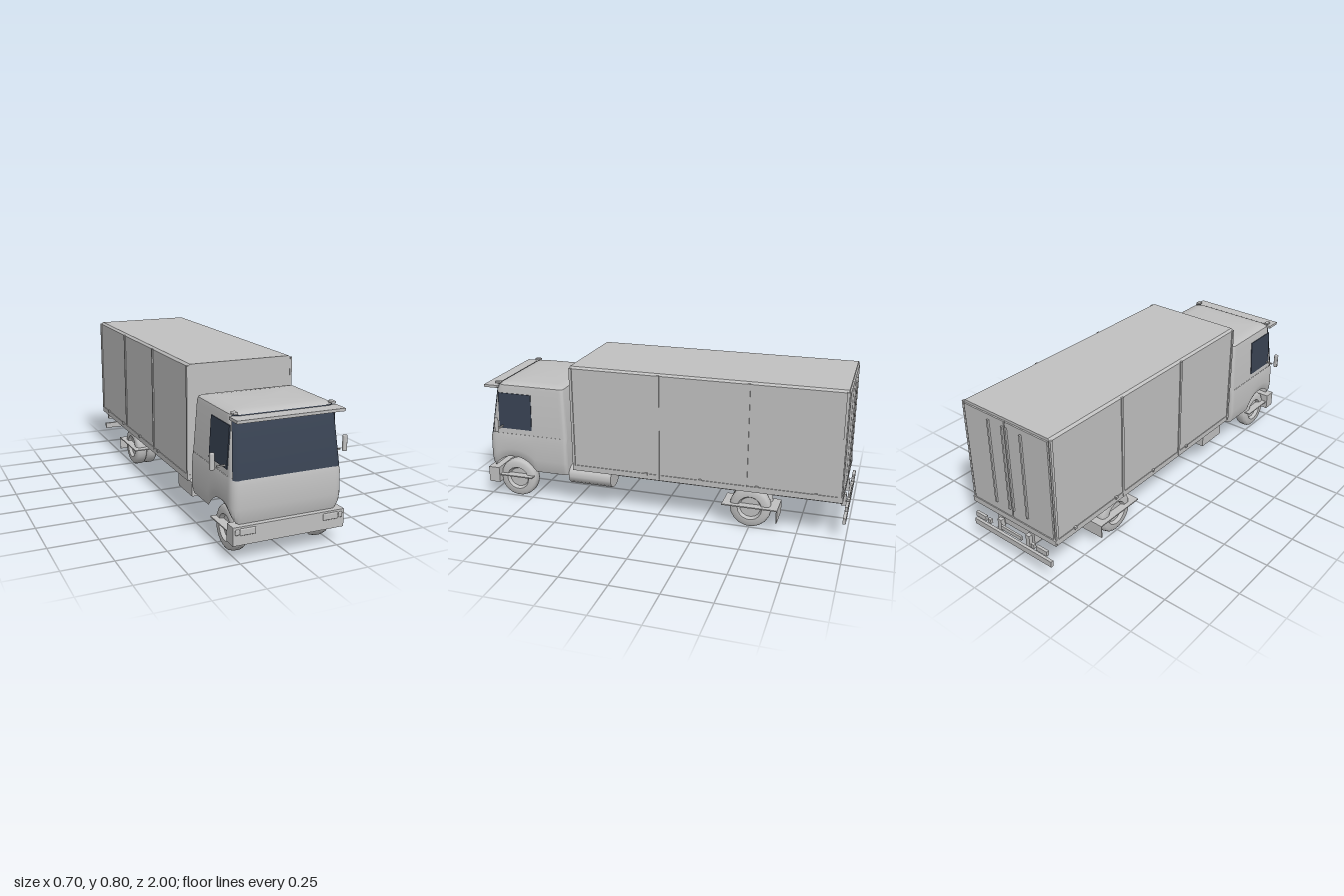
import * as THREE from 'three';
import { toCreasedNormals } from 'three/addons/utils/BufferGeometryUtils.js';
import { RoundedBoxGeometry } from 'three/addons/geometries/RoundedBoxGeometry.js';

const ARC = 5, SIDE = 28;
const lerp = THREE.MathUtils.lerp;

// Plan outline of the cab: front corners first, then round the sides and rear
function ring([, w, zf, zr]) {
  const r = Math.min(0.04, w * 0.4, (zf - zr) * 0.3), q = r * 0.5, pts = [];
  const arc = (cx, cz, rad, from) => {
    for (let i = 0; i <= ARC; i++) {
      const a = from + (i / ARC) * Math.PI / 2;
      pts.push([cx + rad * Math.cos(a), cz + rad * Math.sin(a)]);
    }
  };
  arc(w - r, zf - r, r, 0);
  arc(r - w, zf - r, r, Math.PI / 2);
  for (let i = 1; i < SIDE; i++) pts.push([-w, lerp(zf - r, zr + q, i / SIDE)]);
  arc(q - w, zr + q, q, Math.PI);
  arc(w - q, zr + q, q, Math.PI * 1.5);
  for (let i = 1; i < SIDE; i++) pts.push([w, lerp(zr + q, zf - r, i / SIDE)]);
  return pts;
}

// Skin a stack of outlines; yAt may bend each level
function loft(levels, outline, closed, yAt = (y) => y) {
  const pos = [], idx = [];
  let n = 0;
  levels.forEach((lv) => {
    const pts = outline(lv);
    n = pts.length;
    pts.forEach(([x, z]) => pos.push(x, yAt(lv[0], z), z));
  });
  for (let j = 0; j < levels.length - 1; j++) {
    for (let i = 0; i < (closed ? n : n - 1); i++) {
      const a = j * n + i, b = j * n + (i + 1) % n;
      idx.push(a, a + n, b, b, a + n, b + n);
    }
  }
  const g = new THREE.BufferGeometry();
  g.setAttribute('position', new THREE.Float32BufferAttribute(pos, 3));
  g.setIndex(idx);
  return toCreasedNormals(g, 0.6);
}

export function createModel() {
  const truck = new THREE.Group();
  truck.name = 'boxTruck';
  const paint = new THREE.MeshStandardMaterial({ color: 0xc0c0c0, side: THREE.DoubleSide });
  paint.name = 'greyPaint';
  const glass = new THREE.MeshStandardMaterial({ color: 0x384252, side: THREE.DoubleSide });
  glass.name = 'darkGlass';

  const add = (name, geo, mat = paint, parent = truck) => {
    const m = new THREE.Mesh(geo, mat);
    m.name = name;
    parent.add(m);
    return m;
  };
  // Box given by its limits on each axis
  const box = (name, x0, x1, y0, y1, z0, z1, round = 0) => {
    const s = [Math.abs(x1 - x0), y1 - y0, z1 - z0];
    const m = add(name, round ? new RoundedBoxGeometry(...s, 2, round) : new THREE.BoxGeometry(...s));
    m.position.set((x0 + x1) / 2, (y0 + y1) / 2, (z0 + z1) / 2);
    return m;
  };
  const pair = (name, x0, x1, ...rest) => [1, -1].map((s) => box(name, s * x0, s * x1, ...rest));

  // Cab: lower shell with wheel arches, upper shell with domed roof
  const BASE = 0.178, BELT = 0.39, AXLE = 0.835;
  const bottom = (z) => {
    const d = 0.145 ** 2 - (z - AXLE) ** 2;
    return d > 0 ? Math.max(BASE, 0.11 + Math.sqrt(d)) : BASE;
  };
  add('cabLower', loft([
    [BASE, 0.272, 0.968, 0.512], [0.21, 0.281, 0.976, 0.512], [0.25, 0.284, 0.979, 0.512],
    [0.36, 0.281, 0.978, 0.512], [BELT, 0.277, 0.97, 0.512],
  ], ring, true, (y, z) => lerp(bottom(z), BELT, (y - BASE) / (BELT - BASE))));
  const upper = [
    [BELT, 0.276, 0.968, 0.512], [0.645, 0.262, 0.924, 0.526], [0.664, 0.258, 0.915, 0.53],
    [0.672, 0.247, 0.902, 0.54], [0.677, 0.2, 0.86, 0.58], [0.68, 0.002, 0.722, 0.718],
  ];
  add('cabUpper', loft(upper, ring, true));
  box('cabFloor', -0.265, 0.265, 0.25, 0.26, 0.53, 0.95);
  box('engine', -0.09, 0.09, 0.14, 0.25, 0.48, 0.92);

  // Windscreen wraps onto the front corners
  const screenRows = [[0.382, 0.28, 0.972, 0.512], ...upper.slice(1, 3).map(([y, w, f, r]) => [y, w + 0.003, f + 0.003, r])];
  add('windscreen', loft(screenRows, (lv) => ring(lv).slice(2, 2 * ARC), false), glass);

  for (const s of [1, -1]) {
    const w = add('sideWindow', new THREE.BoxGeometry(0.006, 0.2, 0.194), glass);
    w.position.set(s * 0.27, 0.52, 0.813);
    w.rotation.z = s * 0.055;
  }

  // Sun visor
  box('sunVisor', -0.27, 0.27, 0.646, 0.66, 0.91, 0.99);
  pair('visorBracket', 0.235, 0.258, 0.668, 0.68, 0.895, 0.93, 0.004);

  // Mirrors
  pair('mirrorArm', 0.27, 0.318, 0.43, 0.437, 0.886, 0.894);
  pair('mirror', 0.33, 0.352, 0.42, 0.5, 0.882, 0.9, 0.006);

  // Front bumper and lamps
  box('frontBumper', -0.285, 0.285, 0.09, 0.178, 0.93, 0.994);
  pair('headlampFrame', 0.173, 0.252, 0.136, 0.169, 0.985, 1, 0.005);
  pair('indicator', 0.255, 0.275, 0.14, 0.167, 0.985, 1, 0.005);

  // Cargo body with chamfered roof edges
  const s = new THREE.Shape();
  [[-0.28, 0.228], [0.28, 0.228], [0.28, 0.795], [0.268, 0.806], [-0.268, 0.806], [-0.28, 0.795]]
    .forEach(([x, y], i) => (i ? s.lineTo(x, y) : s.moveTo(x, y)));
  add('cargoBody', new THREE.ExtrudeGeometry(s, { depth: 1.436, bevelEnabled: false })).position.z = -0.963;
  pair('sillRail', 0.27, 0.284, 0.222, 0.252, -0.966, 0.476);
  for (const z of [0.468, -0.012, -0.482, -0.96]) {
    pair('sidePost', 0.275, 0.286, 0.23, 0.798, z - 0.007, z + 0.007);
  }
  for (const z of [0.055, -0.24, -0.54, -0.84]) {
    pair('latch', 0.28, 0.29, 0.245, 0.258, z - 0.008, z + 0.008);
  }

  // Rear doors with locking bars
  pair('rearDoor', 0.003, 0.268, 0.255, 0.792, -0.971, -0.96);
  for (const x of [0.012, 0.105]) pair('lockingBar', x - 0.005, x + 0.005, 0.3, 0.765, -0.98, -0.968);
  box('rearSill', -0.284, 0.284, 0.222, 0.252, -0.974, -0.955);

  // Chassis
  pair('chassisRail', 0.095, 0.125, 0.145, 0.205, -0.96, 0.92);
  pair('subframe', 0.095, 0.125, 0.205, 0.23, -0.95, 0.476);
  for (const z of [-0.93, -0.2, 0.2]) box('crossMember', -0.1, 0.1, 0.155, 0.195, z - 0.015, z + 0.015);
  const tank = add('fuelTank', new THREE.CylinderGeometry(0.055, 0.055, 0.245, 12));
  tank.rotation.x = Math.PI / 2;
  tank.scale.x = 1.25;
  tank.position.set(0.2, 0.172, 0.388);
  box('batteryBox', -0.25, -0.135, 0.125, 0.2, 0.27, 0.45);

  // Rear under-run bar, brackets and lamps
  box('rearBar', -0.265, 0.265, 0.1, 0.132, -0.996, -0.98);
  pair('rearBracket', 0.085, 0.11, 0.13, 0.195, -0.98, -0.955);
  pair('tailLamp', 0.175, 0.245, 0.16, 0.186, -1, -0.985);
  pair('smallLamp', 0.14, 0.16, 0.16, 0.182, -1, -0.985);
  box('plateHolder', -0.07, 0.07, 0.16, 0.182, -0.996, -0.985);

  // Wheels: tyre profile with recessed rim, revolved about the axle
  const tyre = (half) => new THREE.LatheGeometry([
    [0.001, -half + 0.018], [0.055, -half + 0.018], [0.065, -half], [0.095, -half], [0.106, -half + 0.008],
    [0.11, -half + 0.02], [0.11, half - 0.02], [0.106, half - 0.008], [0.095, half], [0.065, half],
    [0.055, half - 0.018], [0.001, half - 0.018],
  ].map(([r, y]) => new THREE.Vector2(r, y)), 18);
  const wheel = (name, x, z, half) => {
    const m = add(name, toCreasedNormals(tyre(half), 0.7));
    m.rotation.z = -Math.PI / 2;
    m.position.set(x, 0.112, z);
  };
  for (const side of [1, -1]) {
    wheel('frontWheel', side * 0.215, AXLE, 0.035);
    wheel('rearOuterWheel', side * 0.218, -0.5, 0.032);
    wheel('rearInnerWheel', side * 0.154, -0.5, 0.03);
  }
  for (const z of [AXLE, -0.5]) {
    const axle = add('axle', new THREE.CylinderGeometry(0.02, 0.02, 0.4, 10));
    axle.rotation.z = Math.PI / 2;
    axle.position.set(0, 0.112, z);
  }

  // Guard plates and mud flaps
  pair('frontGuard', 0.17, 0.278, 0.13, 0.136, 0.735, 0.935);
  pair('rearGuard', 0.13, 0.275, 0.124, 0.13, -0.645, -0.355);
  pair('mudFlap', 0.13, 0.275, 0.058, 0.13, -0.649, -0.643);

  return truck;
}
